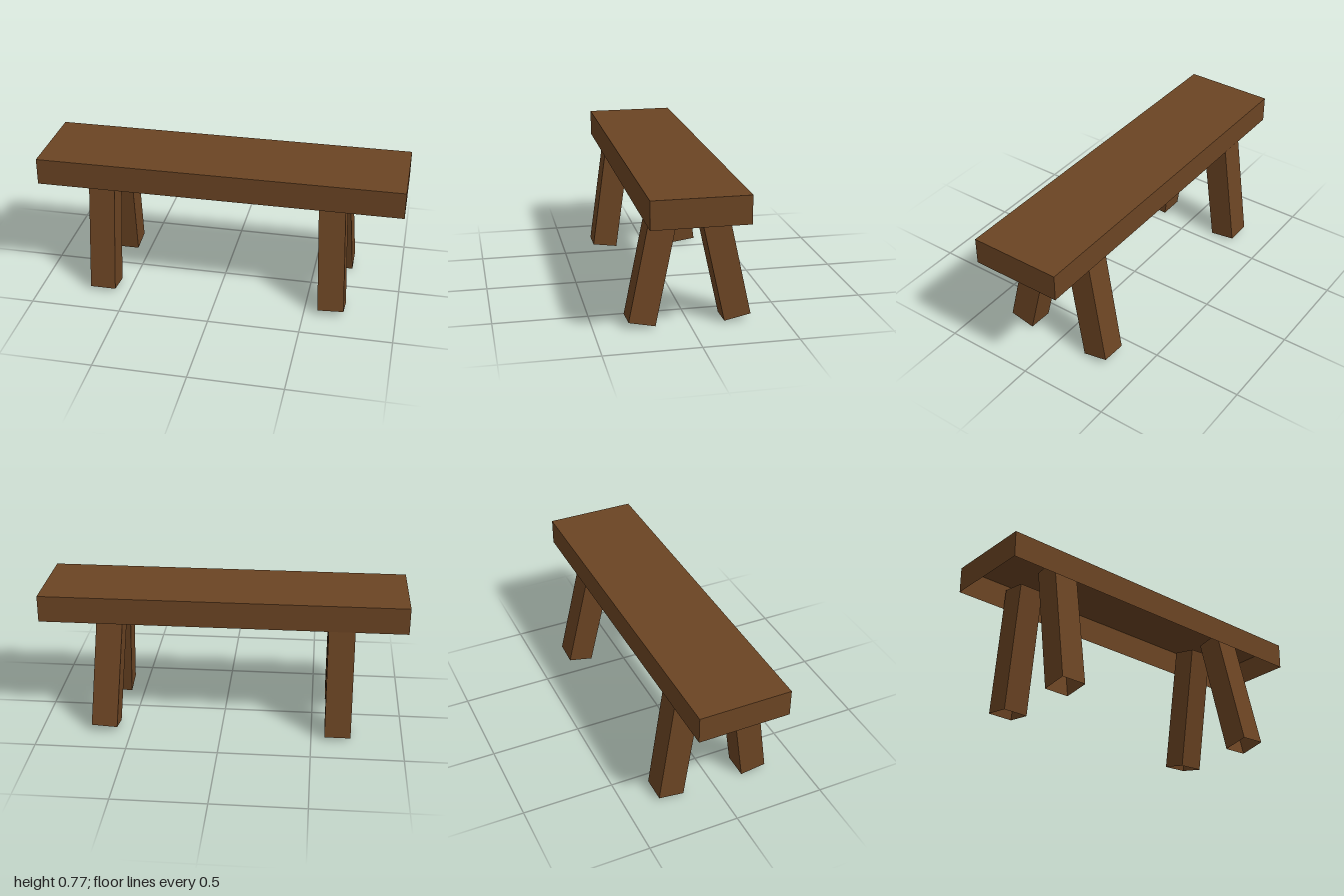
import * as THREE from 'three';

// Box standing on its base at y = 0, with the underside left open
function openBox(w, h, d) {
  const geo = new THREE.BoxGeometry(w, h, d).translate(0, h / 2, 0);
  const index = Array.from(geo.index.array);
  index.splice(18, 6); // the bottom face
  geo.setIndex(index);
  geo.clearGroups();
  return geo;
}

export function createModel() {
  const group = new THREE.Group();
  group.name = 'bench';
  const wood = new THREE.MeshStandardMaterial({ color: 0x6b4423, side: THREE.DoubleSide, flatShading: true });
  wood.name = 'brown wood';

  // Plank seat, hollow underneath
  const seat = new THREE.Mesh(openBox(2, 0.147, 0.5), wood);
  seat.name = 'seat';
  seat.position.set(0, 0.62, 0.012);
  group.add(seat);

  // Splayed legs: the left pair leans further and also tilts outwards
  const legGeo = openBox(0.143, 0.715, 0.143);
  const pairs = [
    { side: 'right', x: -0.645, y: 0.01, z: 0.246, splay: 7.9, lean: 0 },
    { side: 'left', x: 0.648, y: 0.02, z: 0.252, splay: 12, lean: 3 },
  ];
  for (const p of pairs) {
    for (const s of [1, -1]) {
      const leg = new THREE.Mesh(legGeo, wood);
      leg.name = p.side + (s > 0 ? 'FrontLeg' : 'BackLeg');
      leg.position.set(p.x, p.y, s * p.z);
      leg.rotation.set(-s * THREE.MathUtils.degToRad(p.splay), 0, THREE.MathUtils.degToRad(p.lean));
      group.add(leg);
    }
  }
  return group;
}
